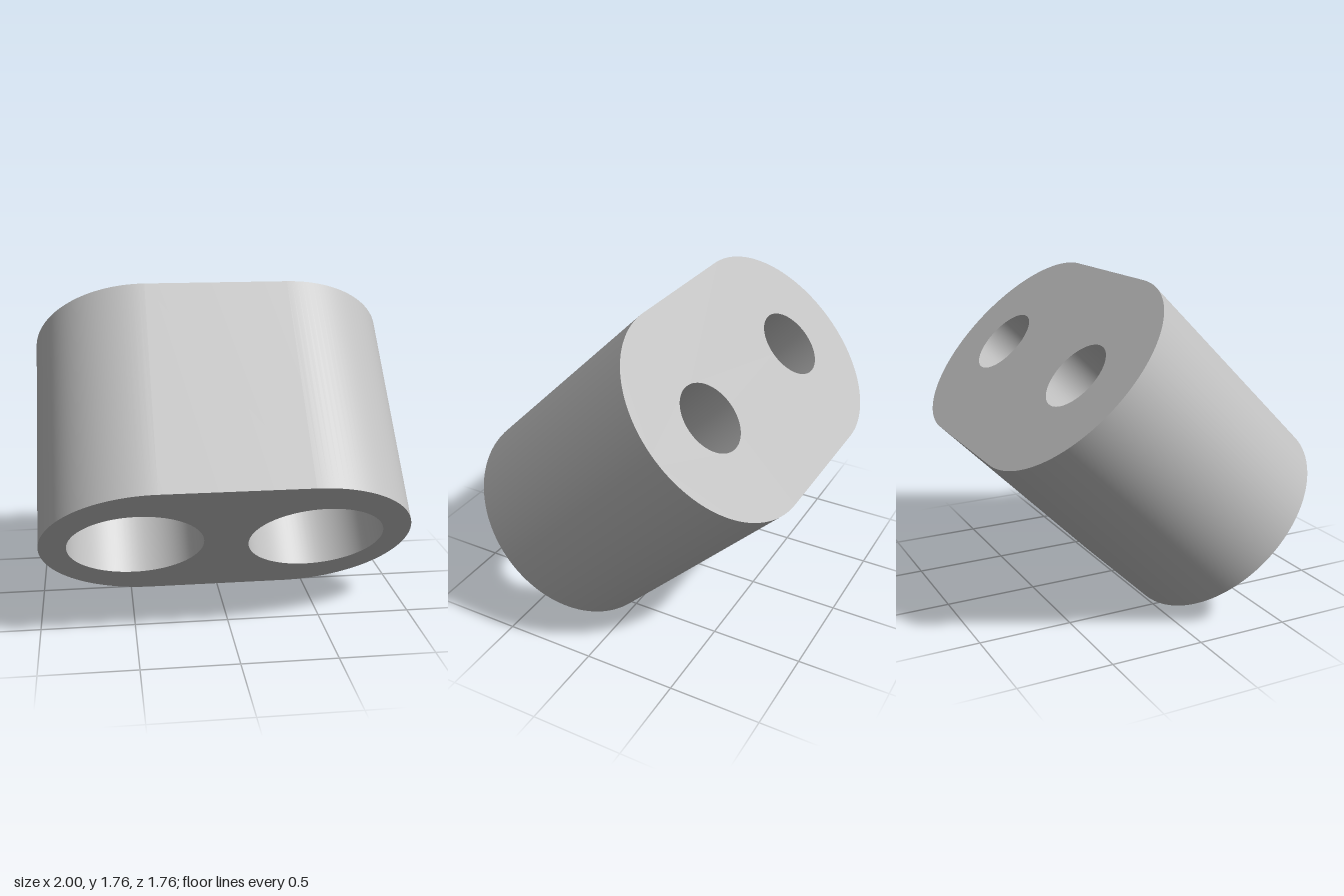
import * as THREE from 'three';
import { toCreasedNormals } from 'three/addons/utils/BufferGeometryUtils.js';

const RADIUS = 0.61;        // rounded ends of the block
const HALF_FLAT = 0.39;     // half of the straight run
const LENGTH = 1.265;
const HOLE_X = 0.487;
const WIDE = 0.366;         // counterbore radius
const NARROW = 0.195;       // through hole radius
const WIDE_DEPTH = 0.68;
const SEGMENTS = 32;

// Stadium outline, optionally pierced by two round holes
function outline(holeRadius) {
  const shape = new THREE.Shape();
  shape.absarc(HALF_FLAT, 0, RADIUS, -Math.PI / 2, Math.PI / 2, false);
  shape.absarc(-HALF_FLAT, 0, RADIUS, Math.PI / 2, Math.PI * 1.5, false);
  shape.closePath();
  if (holeRadius) {
    for (const side of [-1, 1]) {
      const hole = new THREE.Path();
      hole.absarc(side * HOLE_X, 0, holeRadius, 0, Math.PI * 2, true);
      shape.holes.push(hole);
    }
  }
  return shape;
}

// Extruded outline without its end caps
function wallGeometry() {
  const full = new THREE.ExtrudeGeometry(outline(), {
    depth: LENGTH, bevelEnabled: false, curveSegments: SEGMENTS,
  });
  const { start, count } = full.groups[1];
  const wall = new THREE.BufferGeometry();
  const positions = full.attributes.position.array.slice(start * 3, (start + count) * 3);
  wall.setAttribute('position', new THREE.BufferAttribute(positions, 3));
  wall.translate(0, 0, -LENGTH / 2);
  return toCreasedNormals(wall, 0.5);
}

// Inward-facing stepped bore, wide at the front
function boreGeometry() {
  const profile = [
    [NARROW, LENGTH], [NARROW, WIDE_DEPTH], [WIDE, WIDE_DEPTH], [WIDE, 0],
  ].map(([r, d]) => new THREE.Vector2(r, d));
  const bore = new THREE.LatheGeometry(profile, SEGMENTS * 2);
  bore.rotateX(-Math.PI / 2).translate(0, 0, LENGTH / 2);
  return toCreasedNormals(bore, 0.5);
}

export function createModel() {
  const model = new THREE.Group();
  model.name = 'twinBoreBlock';
  const grey = new THREE.MeshStandardMaterial({ color: 0xc0c0c0 });
  grey.name = 'lightGrey';

  const block = new THREE.Group();
  block.name = 'tiltedBlock';
  const add = (name, geometry) => {
    const mesh = new THREE.Mesh(geometry, grey);
    mesh.name = name;
    block.add(mesh);
    return mesh;
  };

  add('outerWall', wallGeometry());

  // End faces
  add('frontFace', new THREE.ShapeGeometry(outline(WIDE), SEGMENTS)).position.z = LENGTH / 2;
  const back = add('backFace', new THREE.ShapeGeometry(outline(NARROW), SEGMENTS));
  back.rotation.y = Math.PI;
  back.position.z = -LENGTH / 2;

  // Stepped holes
  const bore = boreGeometry();
  add('rightBore', bore).position.x = -HOLE_X;
  add('leftBore', bore).position.x = HOLE_X;

  // Tip the front face downwards, resting on its lower edge
  block.rotation.x = Math.PI / 4;
  block.position.y = (LENGTH / 2 + RADIUS) * Math.SQRT1_2;
  model.add(block);
  return model;
}
